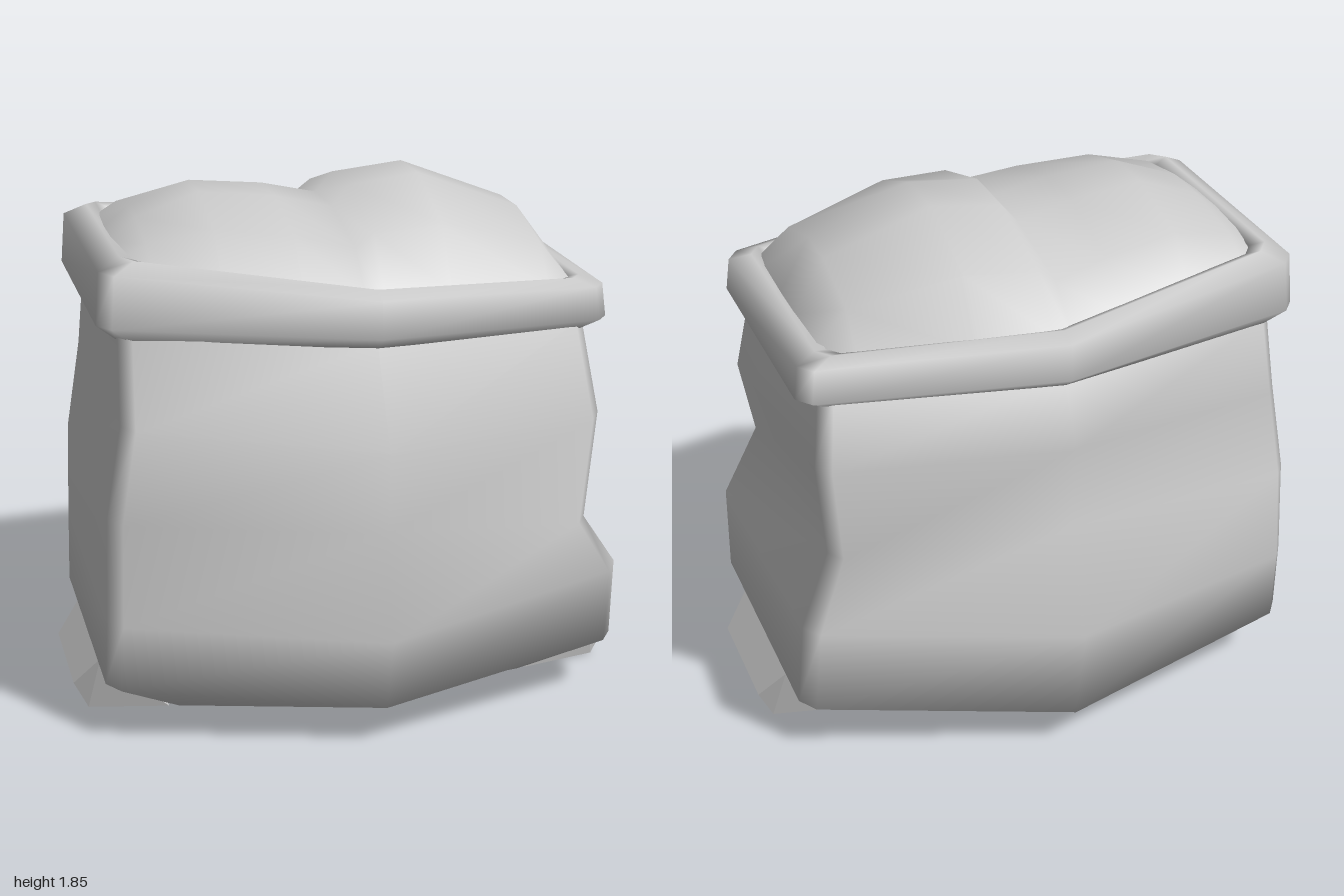
import * as THREE from 'three';
import { ConvexGeometry } from 'three/addons/geometries/ConvexGeometry.js';

const material = new THREE.MeshStandardMaterial({ color: 0xcccccc, side: THREE.DoubleSide });

// Smooth surface through rows of [x, y, z] points.
function loft(name, rows, closed) {
  const n = rows[0].length;
  const index = [];
  for (let i = 0; i < rows.length - 1; i++) {
    for (let j = 0; j < (closed ? n : n - 1); j++) {
      const a = i * n + j, b = i * n + (j + 1) % n;
      index.push(a, b, b + n, a, b + n, a + n);
    }
  }
  const geometry = new THREE.BufferGeometry();
  geometry.setAttribute('position', new THREE.Float32BufferAttribute(rows.flat(2), 3));
  geometry.setIndex(index);
  geometry.computeVertexNormals();
  const mesh = new THREE.Mesh(geometry, material);
  mesh.name = name;
  return mesh;
}

const mix = (a, b, t) => a.map((v, i) => v + (b[i] - v) * t);

// Hexagonal ring (front, left front, left back, back, right back, right front)
// with its four corners cut to a narrow bevel.
function bevelRing(ring) {
  return ring.flatMap((p, i) => {
    if (i % 3 === 0) return [p];
    const before = ring[i - 1], after = ring[(i + 1) % 6];
    return [mix(p, before, 0.05), mix(p, after, 0.05)];
  });
}

function createSack() {
  // Each column runs from the base to the neck.
  const front = [[0, 0, 0.4], [0, 0.15, 0.78], [0, 0.42, 0.85], [0, 0.78, 0.765], [0, 1.07, 0.79], [0, 1.4, 0.62]];
  const back = [[0, 0, -0.4], [0, 0.15, -0.78], [0, 0.52, -0.85], [0, 0.86, -0.69], [0, 1.19, -0.73], [0, 1.4, -0.62]];
  const leftFront = [[0.67, 0, 0.28], [0.91, 0.21, 0.54], [0.9, 0.5, 0.59], [0.75, 0.71, 0.66], [0.83, 1.05, 0.55], [0.78, 1.38, 0.48]];
  const leftBack = [[0.67, 0, -0.28], [0.91, 0.21, -0.5], [0.905, 0.58, -0.59], [0.78, 0.79, -0.49], [0.83, 1.18, -0.57], [0.78, 1.38, -0.45]];
  const rightFront = [[-0.67, 0, 0.28], [-0.92, 0.21, 0.54], [-0.91, 0.45, 0.56], [-0.9, 0.82, 0.57], [-0.84, 1.13, 0.53], [-0.83, 1.42, 0.46]];
  const rightBack = [[-0.67, 0, -0.28], [-0.92, 0.21, -0.54], [-0.91, 0.48, -0.57], [-0.9, 0.82, -0.56], [-0.85, 1.15, -0.54], [-0.83, 1.42, -0.49]];
  const columns = [front, leftFront, leftBack, back, rightBack, rightFront];
  const rings = front.map((_, i) => bevelRing(columns.map((c) => c[i])));
  const base = rings[0].map(() => [0, 0, 0]);
  return loft('sack', [base, ...rings], true);
}

function createRim() {
  // Per corner: x, z, lower height, upper height.
  const corners = [
    [0, 0.69, 1.385, 1.58], [0.86, 0.5, 1.35, 1.53], [0.86, -0.47, 1.35, 1.53],
    [0, -0.69, 1.385, 1.58], [-0.9, -0.53, 1.4, 1.68], [-0.9, 0.46, 1.4, 1.68],
  ];
  // Rolled section: scale, share of the height.
  const section = [[0.88, 0.08], [0.92, 0], [1, 0.22], [0.985, 0.86], [0.9, 1], [0.85, 0.94], [0.83, 0.5]];
  const rings = section.map(([s, t]) =>
    bevelRing(corners.map(([x, z, low, high]) => [x * s, low + (high - low) * t, z * s])));
  return loft('rolledRim', rings, true);
}

function createContents() {
  // Stations across the sack: x, back z, front z, edge height, crown height.
  const stations = [
    [-0.81, -0.46, 0.38, 1.61, 1.66], [-0.71, -0.48, 0.41, 1.63, 1.74], [-0.49, -0.52, 0.46, 1.61, 1.82],
    [-0.23, -0.57, 0.53, 1.58, 1.795], [-0.03, -0.61, 0.585, 1.55, 1.75], [0.03, -0.61, 0.585, 1.55, 1.82],
    [0.28, -0.56, 0.54, 1.53, 1.85], [0.65, -0.44, 0.46, 1.51, 1.71], [0.76, -0.41, 0.43, 1.49, 1.52],
  ];
  const profile = [[-1, 0], [-0.76, 0.64], [-0.2, 1], [0.2, 1], [0.76, 0.64], [1, 0]];
  const rows = stations.map(([x, zBack, zFront, edge, crown]) =>
    profile.map(([u, h]) => [x, edge + (crown - edge) * h, u < 0 ? -u * zBack : u * zFront]));
  return loft('heapedContents', rows, false);
}

// Small wedge along the foot of each side.
function createTab(name, turn) {
  const points = [];
  for (const s of [-1, 1]) {
    points.push(
      new THREE.Vector3(0.67, 0, 0.28 * s), new THREE.Vector3(0.91, 0.21, 0.28 * s),
      new THREE.Vector3(1, 0.1, 0.22 * s), new THREE.Vector3(0.95, 0, 0.22 * s));
  }
  const mesh = new THREE.Mesh(new ConvexGeometry(points), material);
  mesh.name = name;
  mesh.rotation.y = turn;
  return mesh;
}

export function createModel() {
  const group = new THREE.Group();
  group.name = 'openSack';
  group.add(createSack(), createRim(), createContents(),
    createTab('leftBaseTab', 0), createTab('rightBaseTab', Math.PI));
  return group;
}
